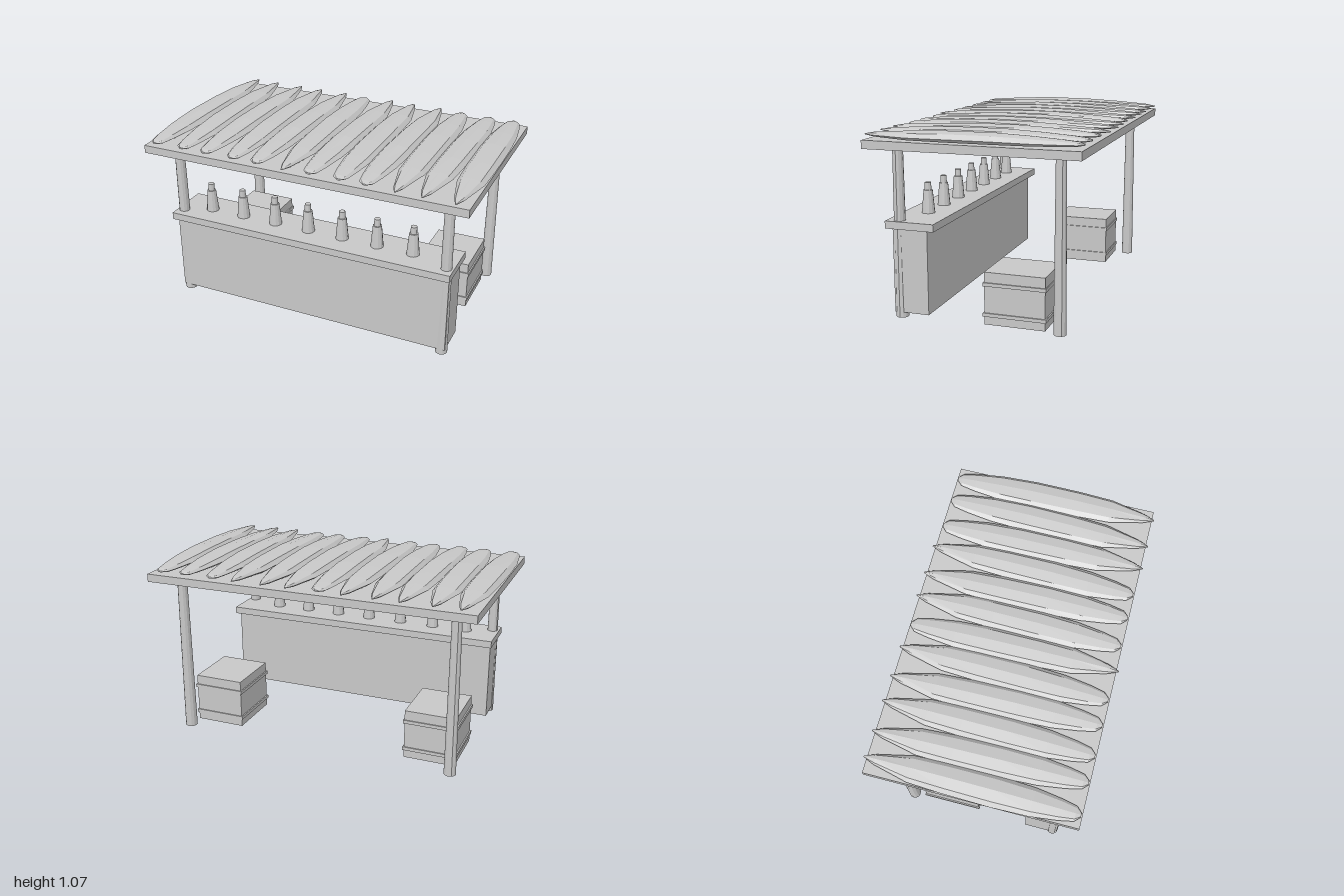
import * as THREE from 'three';

const grey = new THREE.MeshStandardMaterial({ color: 0xc8c8c8, flatShading: true });
grey.name = 'plainGrey';

function add(parent, name, geometry, x = 0, y = 0, z = 0) {
  const mesh = new THREE.Mesh(geometry, grey);
  mesh.name = name;
  mesh.position.set(x, y, z);
  parent.add(mesh);
  return mesh;
}

// Box given by its limits on each axis
function block(parent, name, [x0, x1], [y0, y1], [z0, z1]) {
  return add(parent, name, new THREE.BoxGeometry(x1 - x0, y1 - y0, z1 - z0),
    (x0 + x1) / 2, (y0 + y1) / 2, (z0 + z1) / 2);
}

// Lens-shaped thatch leaf; each station is [z, half width, bottom y, top y]
function leafGeometry() {
  const stations = [
    [-0.615, 0.004, 1.034, 1.04], [-0.55, 0.03, 1.024, 1.052],
    [-0.35, 0.076, 1.015, 1.065], [-0.15, 0.085, 1.013, 1.073],
    [0.12, 0.088, 1.013, 1.075], [0.33, 0.08, 1.015, 1.066],
    [0.48, 0.06, 1.02, 1.056], [0.565, 0.042, 1.024, 1.048],
    [0.595, 0.012, 1.03, 1.04],
  ];
  const sides = 8;
  const positions = [], indices = [];
  for (const [z, w, low, high] of stations) {
    const rim = low + (high - low) * 0.42;
    for (let j = 0; j < sides; j++) {
      const a = (j / sides) * Math.PI * 2, s = Math.sin(a);
      positions.push(w * Math.cos(a), rim + s * (s > 0 ? high - rim : rim - low), z);
    }
  }
  const last = (stations.length - 1) * sides;
  for (let i = 0; i < last; i += sides) {
    for (let j = 0; j < sides; j++) {
      const k = (j + 1) % sides;
      indices.push(i + j, i + k, i + sides + k, i + j, i + sides + k, i + sides + j);
    }
  }
  for (let j = 1; j < sides - 1; j++) {
    indices.push(0, j + 1, j, last, last + j, last + j + 1);
  }
  const g = new THREE.BufferGeometry();
  g.setAttribute('position', new THREE.Float32BufferAttribute(positions, 3));
  g.setIndex(indices);
  g.computeVertexNormals();
  return g;
}

function addCrate(parent, name, x) {
  const crate = new THREE.Group();
  crate.name = name;
  crate.position.set(x, 0, -0.2);
  parent.add(crate);
  block(crate, 'crateBody', [-0.152, 0.152], [0.008, 0.305], [-0.173, 0.173]);
  for (const y of [0.065, 0.237]) {
    block(crate, 'crateBand', [-0.16, 0.16], [y - 0.01, y + 0.01], [-0.18, 0.18]);
  }
}

function addBottle(parent, x) {
  const bottle = new THREE.Group();
  bottle.name = 'bottle';
  bottle.position.set(x, 0, 0.39);
  parent.add(bottle);
  add(bottle, 'bottleBody', new THREE.CylinderGeometry(0.026, 0.038, 0.133, 12), 0, 0.6235);
  add(bottle, 'bottleNeck', new THREE.CylinderGeometry(0.018, 0.019, 0.045, 12), 0, 0.71);
}

export function createModel() {
  const stall = new THREE.Group();
  stall.name = 'marketStall';

  // Four tapered corner posts
  const post = new THREE.CylinderGeometry(0.029, 0.036, 0.965, 12);
  for (const x of [-0.84, 0.84]) {
    for (const z of [-0.458, 0.461]) {
      add(stall, z > 0 ? 'frontPost' : 'backPost', post, x, 0.4875, z);
    }
  }

  // Roof board with a row of overlapping leaves
  block(stall, 'roofBoard', [-0.982, 0.982], [0.966, 1.013], [-0.603, 0.603]);
  const leaf = leafGeometry();
  const flipped = [5, 9, 10, 11];
  for (let i = 0; i < 12; i++) {
    const mesh = add(stall, 'roofLeaf', leaf, -0.905 + i * 0.1645);
    mesh.rotation.y = (flipped.includes(i) ? Math.PI : 0) + (i % 2 ? 0.012 : -0.012);
  }

  // Counter
  block(stall, 'counterBody', [-0.868, 0.868], [0.036, 0.52], [0.288, 0.492]);
  block(stall, 'counterTop', [-0.882, 0.882], [0.514, 0.557], [0.245, 0.532]);
  for (let i = 0; i < 7; i++) addBottle(stall, -0.682 + i * 0.217);

  // Crates behind the counter
  addCrate(stall, 'leftCrate', 0.68);
  addCrate(stall, 'rightCrate', -0.69);

  return stall;
}
